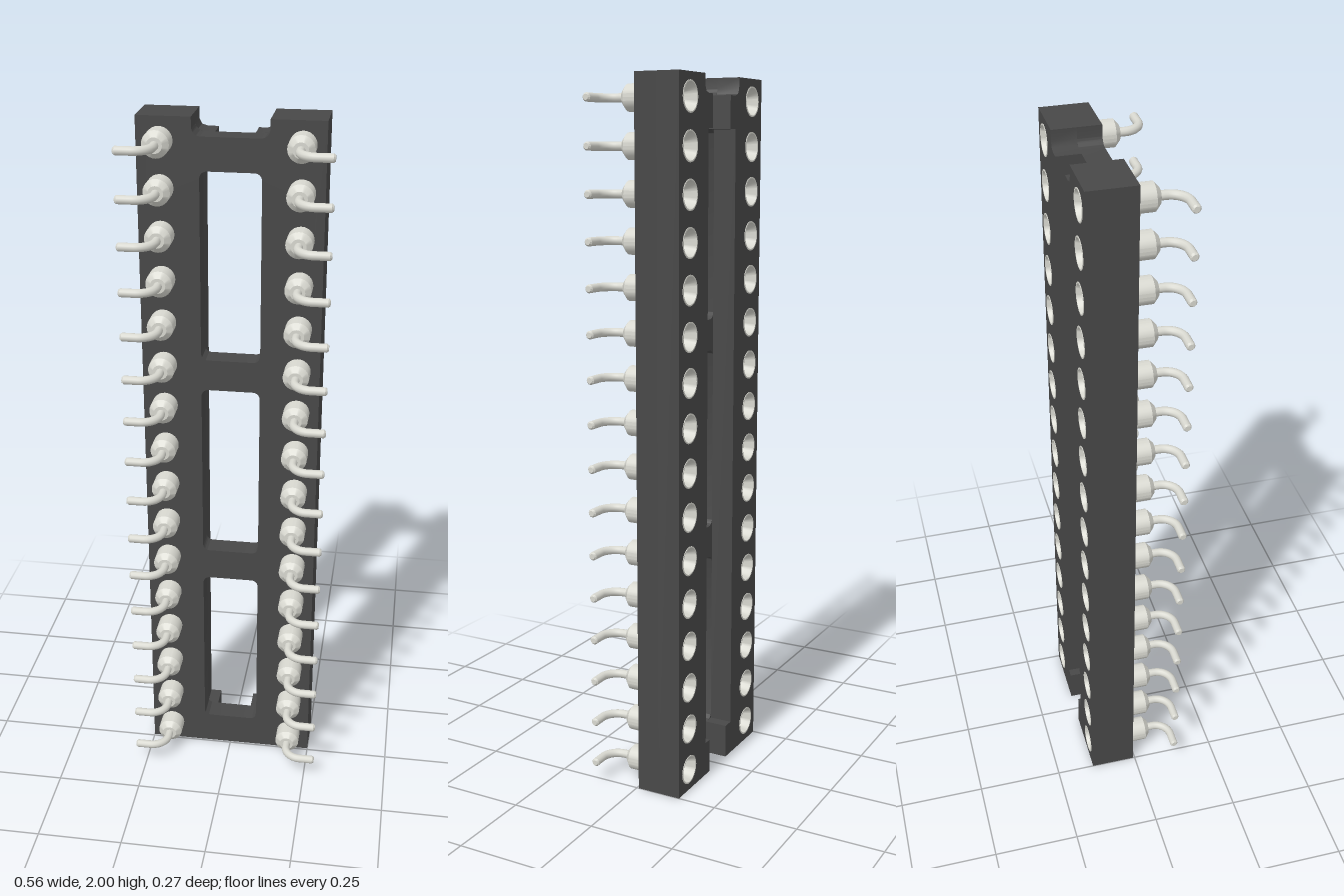
import * as THREE from 'three';
import { toCreasedNormals } from 'three/addons/utils/BufferGeometryUtils.js';

const PINS = 16, PITCH = 0.125, ROW_X = 0.188;
const Z_BACK = -0.1375, Z_STEP = -0.071, Z_FRONT = -0.006;
const HALF_W = 0.25, WINDOW_X = 0.083;

const plastic = new THREE.MeshStandardMaterial({ color: 0x484848 });
const metal = new THREE.MeshStandardMaterial({ color: 0xd8d8d0 });
const metalThin = new THREE.MeshStandardMaterial({ color: 0xd8d8d0, side: THREE.DoubleSide });

function addMesh(parent, name, geometry, material) {
  const mesh = new THREE.Mesh(geometry, material);
  mesh.name = name;
  parent.add(mesh);
  return mesh;
}

const pinY = (i) => (i + 0.5) * PITCH;

function circlePath(x, y, r) {
  return new THREE.Path().absarc(x, y, r, 0, Math.PI * 2, true);
}

// Window with rounded corners
function windowPath(y0, y1, r = 0.02) {
  const w = WINDOW_X, p = new THREE.Path();
  p.absarc(w - r, y0 + r, r, -Math.PI / 2, 0);
  p.absarc(w - r, y1 - r, r, 0, Math.PI / 2);
  p.absarc(-w + r, y1 - r, r, Math.PI / 2, Math.PI);
  p.absarc(-w + r, y0 + r, r, Math.PI, Math.PI * 1.5);
  p.closePath();
  return p;
}

function extrude(shape, z0, z1) {
  const g = new THREE.ExtrudeGeometry(shape, { depth: z1 - z0, bevelEnabled: false, curveSegments: 12 });
  g.translate(0, 0, z0);
  return toCreasedNormals(g, 0.6);
}

// Front half of the body: ladder frame with three windows and an end notch
function frameGeometry() {
  const n = 0.103, r = 0.025, yN = 1.95;
  const s = new THREE.Shape();
  s.moveTo(-HALF_W, 0);
  s.lineTo(HALF_W, 0);
  s.lineTo(HALF_W, 2);
  s.lineTo(n, 2);
  s.lineTo(n, yN + r);
  s.absarc(n - r, yN + r, r, 0, -Math.PI / 2, true);
  s.absarc(-n + r, yN + r, r, -Math.PI / 2, -Math.PI, true);
  s.lineTo(-n, 2);
  s.lineTo(-HALF_W, 2);
  s.closePath();
  for (const [a, b] of [[0.1, 0.62], [0.715, 1.24], [1.33, 1.86]]) s.holes.push(windowPath(a, b));
  for (let i = 0; i < PINS; i++)
    for (const side of [-1, 1]) s.holes.push(circlePath(side * ROW_X, pinY(i), 0.036));
  return extrude(s, Z_STEP, Z_FRONT);
}

// Back half of one rail, with a tab over each end bar
function railGeometry(side, tabX) {
  const outline = [
    [HALF_W, 0], [HALF_W, 2], [0.103, 2], [0.103, 1.97], [0.096, 1.955], [0.08, 1.95],
    [tabX, 1.95], [tabX, 1.86], [WINDOW_X, 1.86], [WINDOW_X, 0.1], [tabX, 0.1], [tabX, 0],
  ];
  const s = new THREE.Shape(outline.map(([x, y]) => new THREE.Vector2(side * x, y)));
  for (let i = 0; i < PINS; i++) s.holes.push(circlePath(side * ROW_X, pinY(i), 0.041));
  return extrude(s, Z_BACK, Z_STEP);
}

// Turned socket: cup open to the back, barrel and chamfer at the front
function socketGeometry() {
  const profile = [
    [0, -0.03], [0.021, -0.03], [0.021, -0.09], [0.038, -0.139], [0.042, -0.139],
    [0.042, -0.075], [0.0365, -0.07], [0.0365, 0.044], [0.021, 0.058], [0, 0.058],
  ].map(([r, z]) => new THREE.Vector2(r, z));
  const g = new THREE.LatheGeometry(profile, 24);
  g.rotateX(Math.PI / 2);
  return toCreasedNormals(g, 0.5);
}

// Wire lead: straight, bent outward a quarter turn, straight to the tip
function leadGeometry() {
  const zC = 0.1225, R = 0.048, k = 0.5523 * R, tip = 0.088;
  const V = (x, z) => new THREE.Vector3(x, 0, z);
  const path = new THREE.CurvePath();
  path.add(new THREE.LineCurve3(V(0, 0.05), V(0, zC - R)));
  path.add(new THREE.CubicBezierCurve3(V(0, zC - R), V(0, zC - R + k), V(R - k, zC), V(R, zC)));
  path.add(new THREE.LineCurve3(V(R, zC), V(tip, zC)));
  return new THREE.TubeGeometry(path, 20, 0.012, 12);
}

function tipGeometry() {
  const g = new THREE.CylinderGeometry(0.008, 0.012, 0.005, 12);
  g.rotateZ(-Math.PI / 2);
  g.translate(0.0905, 0, 0.1225);
  return toCreasedNormals(g, 0.6);
}

// One sprung contact finger, narrowing into the socket
function fingerGeometry() {
  const g = new THREE.CylinderGeometry(0.009, 0.021, 0.045, 4, 1, true, 0, 1.2);
  g.rotateX(Math.PI / 2);
  g.translate(0, 0, -0.065);
  return g;
}

export function createModel() {
  const model = new THREE.Group();
  model.name = 'pinSocketStrip';

  // Plastic body
  const body = new THREE.Group();
  body.name = 'body';
  model.add(body);
  addMesh(body, 'ladderFrame', frameGeometry(), plastic);
  addMesh(body, 'leftRail', railGeometry(1, 0.057), plastic);
  addMesh(body, 'rightRail', railGeometry(-1, 0.05), plastic);

  // Two rows of pins, the right row turned half round
  const socket = socketGeometry(), lead = leadGeometry(), tip = tipGeometry(), finger = fingerGeometry();
  for (const side of [1, -1]) {
    const row = new THREE.Group();
    row.name = side > 0 ? 'leftPinRow' : 'rightPinRow';
    model.add(row);
    for (let i = 0; i < PINS; i++) {
      const pin = new THREE.Group();
      pin.name = 'pin';
      addMesh(pin, 'socket', socket, metal);
      addMesh(pin, 'lead', lead, metal);
      addMesh(pin, 'leadTip', tip, metal);
      for (let f = 0; f < 4; f++) addMesh(pin, 'contactFinger', finger, metalThin).rotation.z = f * Math.PI / 2;
      pin.position.set(side * ROW_X, pinY(i), 0);
      if (side < 0) pin.rotation.z = Math.PI;
      row.add(pin);
    }
  }
  return model;
}
